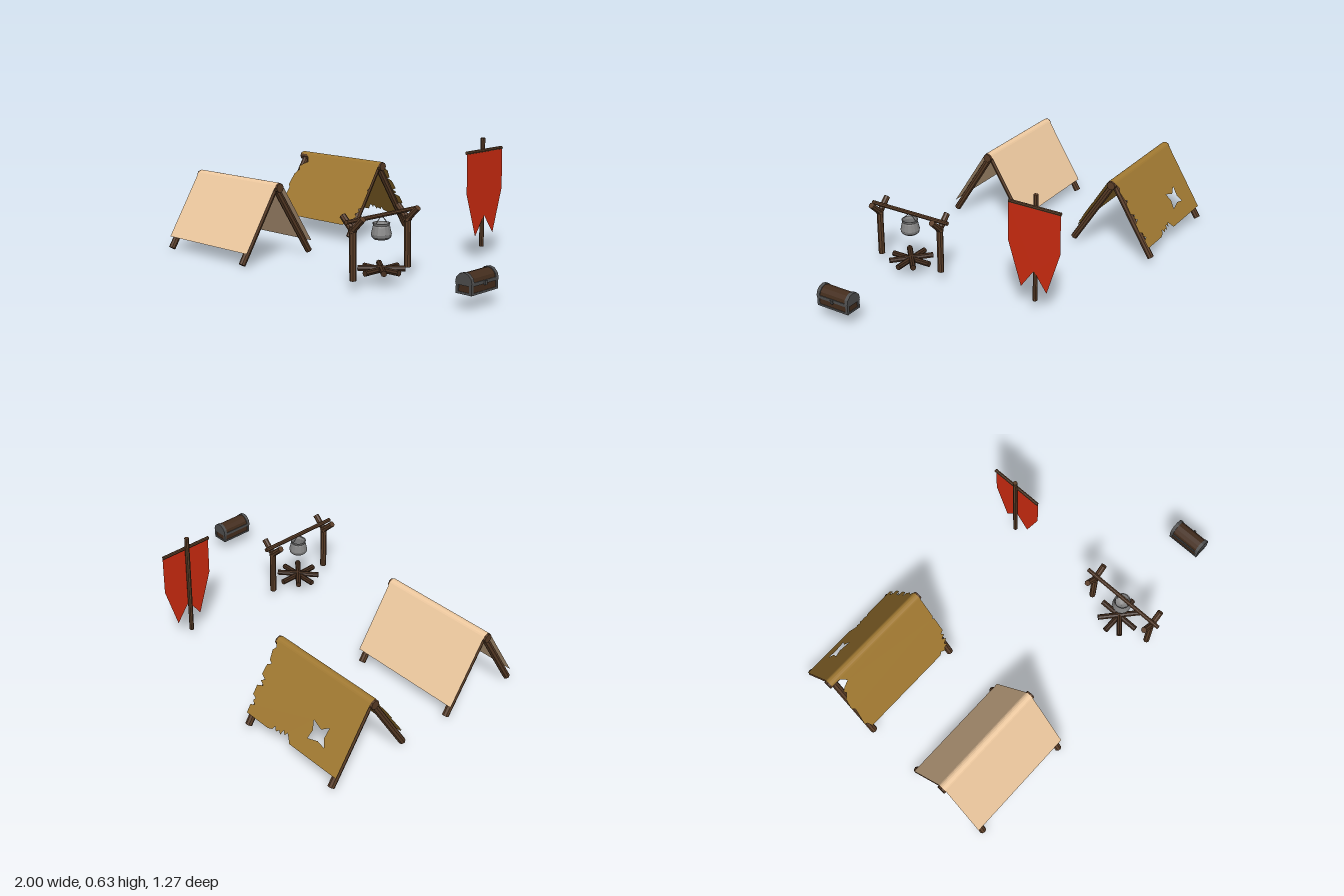
import * as THREE from 'three';

const mat = (color, extra = {}) => new THREE.MeshStandardMaterial({ color, flatShading: true, ...extra });
const cloth = (color) => mat(color, { side: THREE.DoubleSide });
const V = (x, y, z) => new THREE.Vector3(x, y, z);

export function createModel() {
  const model = new THREE.Group();
  const wood = mat(0x5a3d27), darkWood = mat(0x442d1d), iron = mat(0x4e4e4e), potIron = mat(0x858585);

  const group = (name, x, y, z) => {
    const g = new THREE.Group();
    g.name = name;
    g.position.set(x, y, z);
    model.add(g);
    return g;
  };
  const add = (parent, name, geometry, material, x = 0, y = 0, z = 0) => {
    const m = new THREE.Mesh(geometry, material);
    m.name = name;
    m.position.set(x, y, z);
    parent.add(m);
    return m;
  };
  // round timber between two points
  const rod = (parent, name, a, b, r, material = wood, sides = 8) => {
    const m = add(parent, name, new THREE.CylinderGeometry(r, r, a.distanceTo(b), sides), material);
    m.position.copy(a).add(b).multiplyScalar(0.5);
    m.quaternion.setFromUnitVectors(V(0, 1, 0), b.clone().sub(a).normalize());
  };
  const outline = (pts) => pts.map(([x, s]) => new THREE.Vector2(x, -s));

  // ---- Tents: origin on the ridge axis, panels given as (x, distance down the slope)
  const PHI = Math.atan(1 / 1.6), R = 0.026, H = 0.315, L = 0.385;
  function tent(name, y, z, color, front, back, holes) {
    const g = group(name, -0.675, y, z), fabric = cloth(color);
    rod(g, 'ridgePole', V(-0.325, 0, 0), V(0.325, 0, 0), 0.024);
    for (const side of [1, -1]) {
      for (const x of [-0.293, 0.285])
        rod(g, 'tentPole', V(x, -0.373, side * 0.233), V(x, 0.012, -side * 0.0075), 0.018);
      const shape = new THREE.Shape(outline(side > 0 ? front : back));
      if (side < 0) shape.holes = holes.map((h) => new THREE.Path(outline(h)));
      const panel = add(g, side > 0 ? 'frontCanvas' : 'backCanvas', new THREE.ShapeGeometry(shape), fabric,
        0, R * Math.sin(PHI), side * R * Math.cos(PHI));
      panel.rotation.x = -side * PHI;
    }
    const fold = new THREE.CylinderGeometry(R, R, 2 * H, 6, 1, true, PHI, Math.PI - 2 * PHI);
    add(g, 'canvasFold', fold.rotateZ(Math.PI / 2), fabric);
  }
  const whole = [[-H, 0], [H, 0], [H, L], [-H, L]];
  tent('paleTent', 0.385, 0.383, 0xefcaa0, whole, whole, []);

  const tornFront = [
    [-0.27, 0], [H, 0], [H, 0.15], [0.307, 0.16], [H, 0.17], [H, 0.27], [0.295, 0.28], [0.31, 0.295],
    [0.285, 0.31], [0.305, 0.325], [0.28, 0.345], [0.295, 0.36], [0.27, 0.365], [0.262, L],
    [0.24, 0.37], [0.225, L], [-0.29, L], [-0.3, 0.35], [-H, 0.34], [-0.3, 0.22], [-H, 0.2],
    [-0.305, 0.13], [-0.28, 0.1], [-0.29, 0.08], [-0.265, 0.06], [-0.235, 0.045], [-0.25, 0.02],
  ];
  const tornBack = [
    [-H, 0], [H, 0], [0.3, 0.03], [H, 0.05], [0.305, 0.1], [0.285, 0.11], [0.31, 0.125], [H, 0.18],
    [0.285, 0.195], [0.305, 0.21], [0.28, 0.225], [H, 0.24], [H, 0.29], [0.29, 0.3], [0.3, 0.315],
    [0.28, 0.33], [0.305, 0.34], [0.305, L], [0.15, L], [0.125, 0.375], [0.115, 0.355], [0.1, 0.375],
    [0.085, 0.36], [0.07, 0.375], [0.06, 0.345], [0.045, 0.365], [0.035, 0.345], [0.02, 0.36], [0, L], [-H, L],
  ];
  const hole = [
    [-0.187, 0.3], [-0.14, 0.29], [-0.08, 0.308], [-0.09, 0.26],
    [-0.07, 0.215], [-0.13, 0.235], [-0.17, 0.205], [-0.165, 0.26],
  ];
  tent('tornTent', 0.407, -0.393, 0xa27a32, tornFront, tornBack, [hole]);

  // ---- Cooking fire: forked posts, spit, pot and crossed logs
  const fire = group('campfire', 0.363, 0, 0.385);
  for (const z of [-0.188, 0.195]) {
    rod(fire, 'post', V(0, 0.055, z), V(0, 0.315, z), 0.017);
    for (const s of [-1, 1]) rod(fire, 'fork', V(-s * 0.01, 0.285, z), V(s * 0.066, 0.358, z), 0.016);
  }
  rod(fire, 'spit', V(0, 0.34, -0.238), V(0, 0.34, 0.238), 0.011);
  for (let i = 0; i < 4; i++) {
    const a = [0, 0.72, Math.PI / 2, Math.PI - 0.72][i], y = 0.075 + (i % 2) * 0.006;
    const d = V(Math.cos(a) * 0.115, 0, Math.sin(a) * 0.115);
    rod(fire, 'log', d.clone().setY(y), d.clone().negate().setY(y), 0.015, darkWood);
  }
  const profile = [[0, 0.225], [0.036, 0.225], [0.047, 0.235], [0.05, 0.25], [0.042, 0.285], [0.039, 0.292],
    [0.043, 0.304], [0.038, 0.304], [0.034, 0.29], [0.04, 0.25], [0, 0.235]];
  add(fire, 'pot', new THREE.LatheGeometry(profile.map(([r, y]) => new THREE.Vector2(r, y)), 16), potIron);
  for (const s of [-1, 1]) rod(fire, 'potHandle', V(0, 0.3, s * 0.04), V(0, 0.335, s * 0.006), 0.0025, potIron, 5);

  // ---- Banner facing +x, with a swallow tail
  const banner = group('banner', 0.371, 0, -0.375);
  rod(banner, 'bannerPole', V(0, 0.065, 0), V(0, 0.637, 0), 0.012);
  rod(banner, 'crossbar', V(0.01, 0.573, -0.145), V(0.01, 0.573, 0.145), 0.009);
  const flag = new THREE.Shape([[-0.146, 0.568], [-0.146, 0.36], [-0.073, 0.13], [0, 0.233], [0.073, 0.13],
    [0.146, 0.36], [0.146, 0.568]].map(([u, y]) => new THREE.Vector2(u, y)));
  add(banner, 'bannerCloth', new THREE.ShapeGeometry(flag).rotateY(Math.PI / 2), cloth(0xcc2b10), 0.0145);

  // ---- Chest with iron bands and a rounded lid, latch towards +x
  const chest = group('chest', 0.946, 0, 0.385);
  const box = (name, w, h, d, m, x, y, z) => add(chest, name, new THREE.BoxGeometry(w, h, d), m, x, y, z);
  const arch = (name, r, d, m, z) => {
    const g = new THREE.CylinderGeometry(r, r, d, 6, 1, false, Math.PI / 2, Math.PI).rotateX(Math.PI / 2);
    add(chest, name, g, m, 0, 0.128, z);
  };
  box('chestBody', 0.084, 0.052, 0.18, darkWood, 0, 0.104, 0);
  box('rimBand', 0.092, 0.016, 0.19, iron, 0, 0.125, 0);
  box('baseBand', 0.09, 0.01, 0.188, iron, 0, 0.081, 0);
  arch('lid', 0.044, 0.18, darkWood, 0);
  for (const s of [-1, 1]) {
    arch('lidBand', 0.048, 0.018, iron, s * 0.086);
    for (const t of [-1, 1]) box('cornerBand', 0.014, 0.05, 0.014, iron, t * 0.038, 0.103, s * 0.087);
  }
  box('latch', 0.01, 0.02, 0.014, iron, 0.049, 0.122, 0);

  return model;
}
